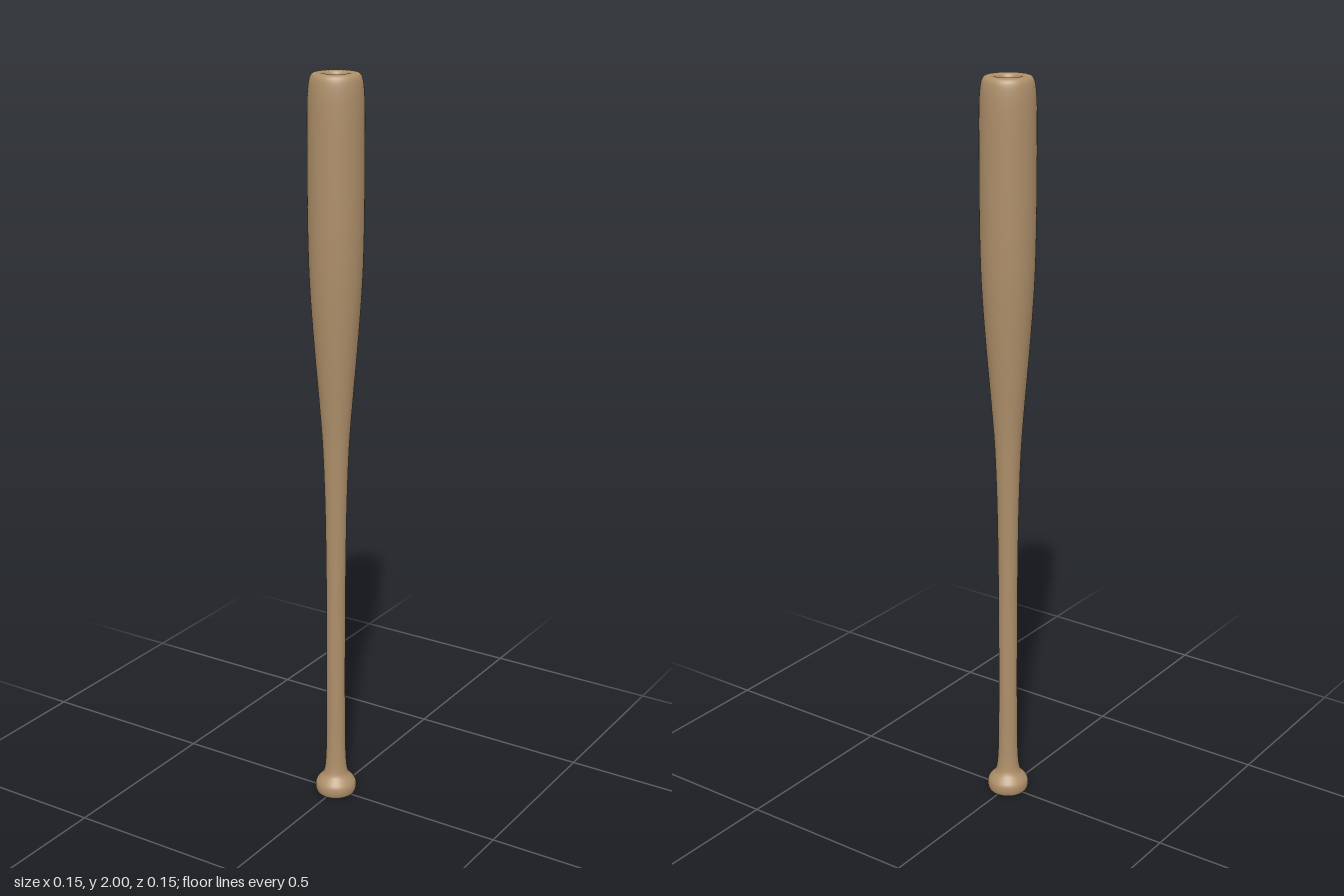
import * as THREE from 'three';

const SIDES = 48;

// Smooth curve through [radius, height] pairs
function smoothProfile(pairs, steps) {
  const curve = new THREE.SplineCurve(pairs.map(([r, y]) => new THREE.Vector2(r, y)));
  return curve.getPoints(steps).map((p) => new THREE.Vector2(Math.max(p.x, 0), p.y));
}

export function createModel() {
  const model = new THREE.Group();
  model.name = 'baseballBat';

  const wood = new THREE.MeshStandardMaterial({ color: 0xae8f6a });
  wood.name = 'tan wood';

  function turned(name, pairs, steps) {
    const mesh = new THREE.Mesh(new THREE.LatheGeometry(smoothProfile(pairs, steps), SIDES), wood);
    mesh.name = name;
    model.add(mesh);
  }

  // Flat underside of the knob
  const base = new THREE.Mesh(new THREE.CircleGeometry(0.051, SIDES), wood);
  base.name = 'knobBase';
  base.rotation.x = Math.PI / 2;
  model.add(base);

  // Knob flaring into the grip
  turned('knob', [
    [0.051, 0], [0.055, 0.006], [0.057, 0.018], [0.055, 0.032], [0.046, 0.045],
    [0.036, 0.057], [0.031, 0.075], [0.028, 0.11], [0.0265, 0.16], [0.026, 0.2],
  ], 36);

  // Slim handle
  turned('handle', [[0.026, 0.2], [0.0255, 0.4], [0.026, 0.6], [0.028, 0.8]], 12);

  // Taper widening to the hitting barrel
  turned('taper', [
    [0.028, 0.8], [0.031, 0.92], [0.036, 1.04], [0.045, 1.16], [0.055, 1.28],
    [0.064, 1.4], [0.0695, 1.5], [0.072, 1.6],
  ], 32);

  // Straight barrel with a rounded shoulder
  turned('barrel', [
    [0.072, 1.6], [0.0728, 1.7], [0.0728, 1.8], [0.0725, 1.9], [0.071, 1.95],
    [0.067, 1.983], [0.06, 1.997], [0.05, 2],
  ], 48);

  // Rim and hollow cup in the end
  turned('cuppedEnd', [
    [0.05, 2], [0.04, 2], [0.033, 1.997], [0.029, 1.988], [0.024, 1.977],
    [0.014, 1.968], [0, 1.965],
  ], 24);

  return model;
}
